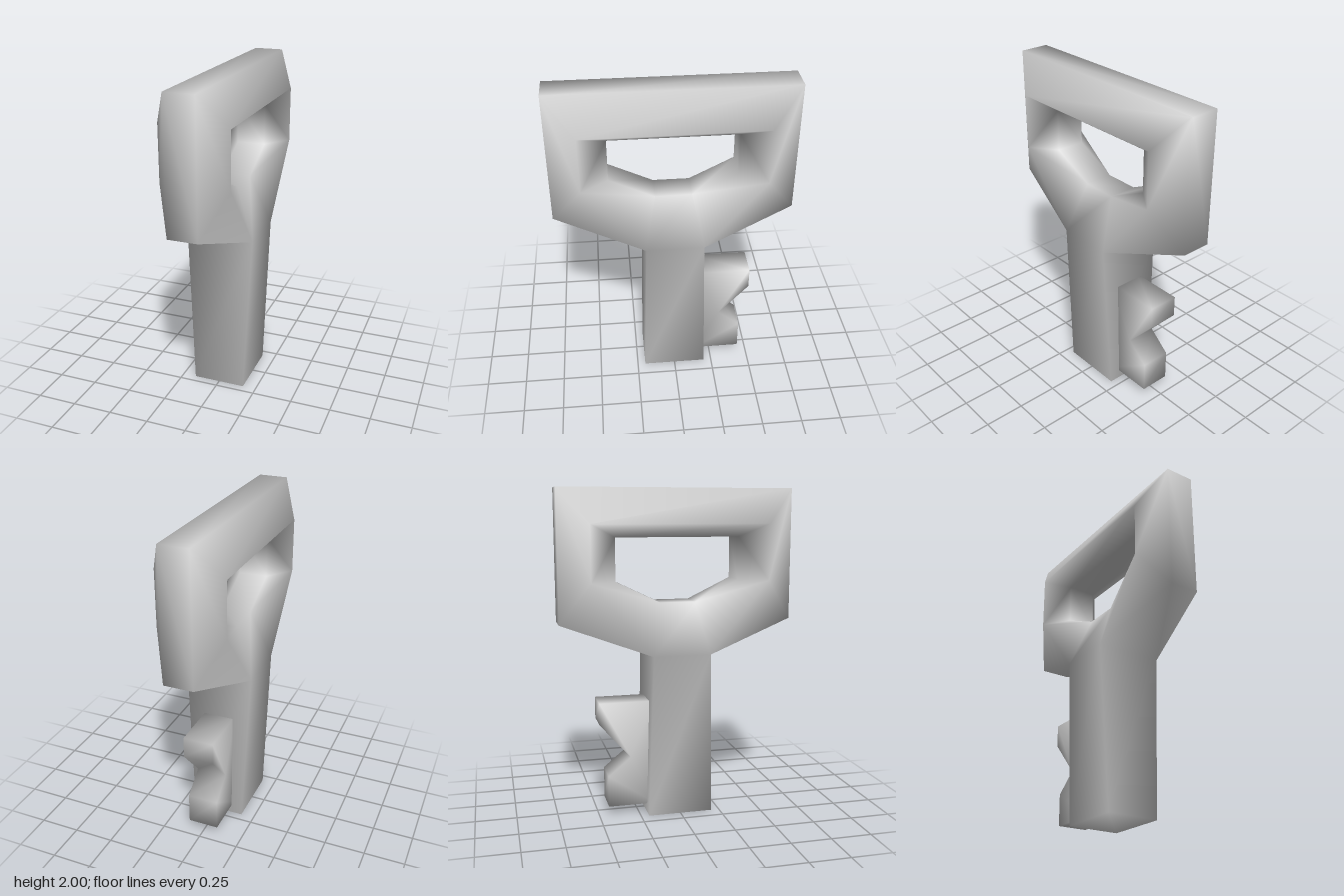
import * as THREE from 'three';
import { mergeVertices } from 'three/addons/utils/BufferGeometryUtils.js';

const material = new THREE.MeshStandardMaterial({ color: 0xcccccc });

// Weld coincident corners and smooth the normals
function smooth(geometry) {
  geometry.deleteAttribute('normal');
  geometry.deleteAttribute('uv');
  const welded = mergeVertices(geometry, 1e-4);
  welded.computeVertexNormals();
  return welded;
}

// Collects quads (corners counter-clockwise from outside), split on the shorter diagonal
function quadBuilder() {
  const positions = [];
  const tri = (a, b, c) => {
    if (a.equals(b) || b.equals(c) || a.equals(c)) return;
    for (const p of [a, b, c]) positions.push(p.x, p.y, p.z);
  };
  return {
    quad(a, b, c, d) {
      if (a.distanceTo(c) <= b.distanceTo(d)) { tri(a, b, c); tri(a, c, d); }
      else { tri(a, b, d); tri(b, c, d); }
    },
    build() {
      const g = new THREE.BufferGeometry();
      g.setAttribute('position', new THREE.Float32BufferAttribute(positions, 3));
      return smooth(g);
    },
  };
}

// One bevelled section of the bow: outer, middle and inner points as [halfWidth, y, z]
function section(outer, mid, inner, side) {
  const at = ([x, y, z], sx) => new THREE.Vector3(x * sx, y, z * side);
  return [at(outer, 1), at(mid, 1), at(inner, 1), at(inner, -1), at(mid, -1), at(outer, -1)];
}

function bowAndShaft() {
  const top = [[0.09, 2, 0.72], [0.21, 1.79, 0.54], [0.09, 1.71, 0.38]];
  const corner = [[0.09, 1.2, 0.72], [0.21, 1.45, 0.54], [0.09, 1.45, 0.38]];
  const neck = [[0.21, 1.01, 0.175], [0.21, 1.01, 0.175], [0.09, 1.32, 0.11]];
  const ring = [[top, 1], [top, -1], [corner, -1], [neck, -1], [neck, 1], [corner, 1]]
    .map(([s, side]) => section(...s, side));
  const { quad, build } = quadBuilder();

  // Bow: skin around the six sections, left open where the shaft joins
  ring.forEach((a, i) => {
    const b = ring[(i + 1) % ring.length];
    for (let k = 0; k < 6; k++) {
      if (i === 3 && k === 5) continue;
      const n = (k + 1) % 6;
      quad(a[n], b[n], b[k], a[k]);
    }
  });

  // Shaft: tapers from the neck down to the foot
  const upper = [ring[4][0], ring[3][0], ring[3][5], ring[4][5]];
  const lower = upper.map((p) => new THREE.Vector3(Math.sign(p.x) * 0.165, 0, Math.sign(p.z) * 0.2));
  for (let i = 0; i < 4; i++) {
    const n = (i + 1) % 4;
    quad(lower[i], lower[n], upper[n], upper[i]);
  }
  quad(lower[3], lower[2], lower[1], lower[0]);
  return build();
}

// Notched bit: outline as (distance behind the shaft axis, height)
function bit() {
  const outline = [[0.15, 0.055], [0.44, 0.055], [0.44, 0.25], [0.3, 0.365],
    [0.49, 0.58], [0.49, 0.715], [0.15, 0.715]];
  const shape = new THREE.Shape(outline.map(([x, y]) => new THREE.Vector2(x, y)));
  const g = new THREE.ExtrudeGeometry(shape, { depth: 0.19, bevelEnabled: false });
  g.translate(0, 0, -0.095);
  g.rotateY(Math.PI / 2);
  return smooth(g);
}

export function createModel() {
  const key = new THREE.Group();
  key.name = 'key';
  for (const [name, geometry] of [['bowAndShaft', bowAndShaft()], ['bit', bit()]]) {
    const mesh = new THREE.Mesh(geometry, material);
    mesh.name = name;
    key.add(mesh);
  }
  return key;
}
